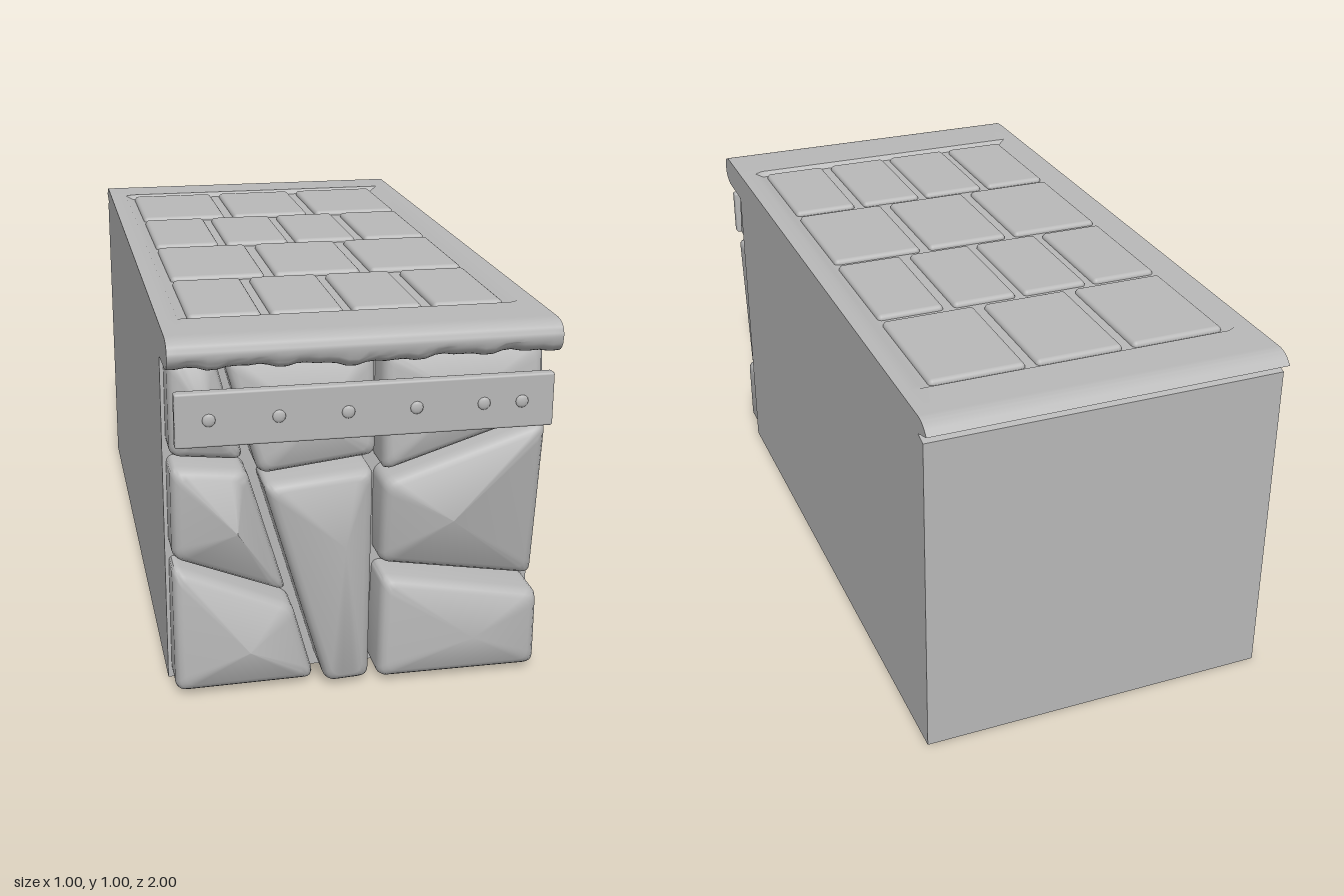
import * as THREE from 'three';
import { toCreasedNormals } from 'three/addons/utils/BufferGeometryUtils.js';
import { RoundedBoxGeometry } from 'three/addons/geometries/RoundedBoxGeometry.js';

const stone = new THREE.MeshStandardMaterial({ color: 0xb8b8b8 });
stone.name = 'grey stone';

function add(parent, name, geometry, x = 0, y = 0, z = 0) {
  const mesh = new THREE.Mesh(geometry, stone);
  mesh.name = name;
  mesh.position.set(x, y, z);
  parent.add(mesh);
  return mesh;
}

// Inset a counter-clockwise polygon by d, then round its corners; p.z carries the corner height.
function roundedRing(poly, d, r) {
  const n = poly.length;
  const inset = poly.map((p, i) => {
    const a = poly[(i + n - 1) % n], b = poly[(i + 1) % n];
    const u = new THREE.Vector2(p.x - a.x, p.y - a.y).normalize();
    const v = new THREE.Vector2(b.x - p.x, b.y - p.y).normalize();
    const k = d / (1 + u.dot(v));
    return new THREE.Vector3(p.x - (u.y + v.y) * k, p.y + (u.x + v.x) * k, p.z);
  });
  return inset.flatMap((p, i) => {
    const a = inset[(i + n - 1) % n], b = inset[(i + 1) % n];
    const start = p.clone().lerp(a, Math.min(0.4, r / p.distanceTo(a)));
    const end = p.clone().lerp(b, Math.min(0.4, r / p.distanceTo(b)));
    return new THREE.QuadraticBezierCurve3(start, p, end).getPoints(4);
  });
}

// Chiselled stone: bevelled rings rising to an off-centre peak
function stoneGeometry(corners, peak) {
  const poly = corners.map(c => new THREE.Vector3(...c));
  const layers = [[0, null], [0, -0.035], [0.004, -0.018], [0.012, -0.006], [0.024, 0]];
  const pos = [], index = [];
  let n = 0;
  for (const [d, drop] of layers) {
    const ring = roundedRing(poly, d, 0.025);
    n = ring.length;
    for (const p of ring) pos.push(p.x, p.y, drop === null ? 0.8 : p.z + drop);
  }
  pos.push(...peak);
  const last = layers.length - 1, tip = layers.length * n;
  for (let i = 0; i < n; i++) {
    const j = (i + 1) % n;
    for (let k = 0; k < last; k++) {
      const a = k * n + i, b = k * n + j;
      index.push(a, b, b + n, a, b + n, a + n);
    }
    index.push(last * n + i, last * n + j, tip);
  }
  const g = new THREE.BufferGeometry();
  g.setAttribute('position', new THREE.Float32BufferAttribute(pos, 3));
  g.setIndex(index);
  return toCreasedNormals(g, 0.7);
}

// Top slab: side profile (z, y) swept across x, with a recessed panel and a ragged front lip
function slabGeometry() {
  const floor = 0.986;
  const shape = new THREE.Shape();
  shape.moveTo(-0.975, 0.94);
  shape.lineTo(-0.94, 0.95);
  shape.lineTo(-1, 0.97);
  shape.lineTo(-0.985, 0.985);
  shape.quadraticCurveTo(-0.965, 1, -0.94, 1);
  shape.lineTo(-0.815, 1);
  shape.lineTo(-0.8, floor);
  shape.lineTo(0.78, floor);
  shape.lineTo(0.795, 1);
  shape.lineTo(0.94, 1);
  shape.quadraticCurveTo(1, 1, 1, 0.962);
  shape.quadraticCurveTo(0.997, 0.925, 0.95, 0.916);
  shape.lineTo(0.81, 0.91);
  shape.lineTo(0.81, 0.94);
  const g = new THREE.ExtrudeGeometry(shape, { depth: 1, steps: 40, bevelEnabled: false, curveSegments: 8 });
  g.rotateY(-Math.PI / 2);
  g.translate(0.5, 0, 0);
  const p = g.attributes.position;
  for (let i = 0; i < p.count; i++) {
    const x = p.getX(i), y = p.getY(i), z = p.getZ(i);
    if (Math.abs(x) > 0.43 && Math.abs(z) < 0.81 && Math.abs(y - floor) < 1e-4) p.setY(i, 1);
    if (z > 0.82 && y < 0.95) {
      const wave = 0.004 * Math.sin(x * 37) + 0.003 * Math.sin(x * 71 + 1);
      p.setY(i, y + wave - 0.009 * Math.exp(-((x / 0.13) ** 2)));
    }
  }
  return toCreasedNormals(g, 0.6);
}

export function createModel() {
  const model = new THREE.Group();
  model.name = 'stoneBlock';

  // Main block and top slab
  add(model, 'body', new THREE.BoxGeometry(1, 0.94, 1.785), 0, 0.47, -0.0825);
  add(model, 'topSlab', slabGeometry());

  // Paving tiles set in the top, in alternating rows of three and four
  const tiles = new THREE.Group();
  tiles.name = 'pavingTiles';
  model.add(tiles);
  const three = [[-0.42, -0.155], [-0.125, 0.12], [0.15, 0.415]];
  const four = [[-0.42, -0.23], [-0.205, -0.015], [0.01, 0.195], [0.225, 0.415]];
  const rows = [[-0.79, -0.42, three], [-0.395, -0.025, four], [0, 0.375, three], [0.4, 0.77, four]];
  for (const [z0, z1, spans] of rows) {
    for (const [x0, x1] of spans) {
      const g = new RoundedBoxGeometry(x1 - x0, 0.04, z1 - z0, 3, 0.013);
      add(tiles, 'tile', g, (x0 + x1) / 2, 0.98, (z0 + z1) / 2);
    }
  }

  // Front stones: corners from bottom left, counter-clockwise, then the peak
  const stones = new THREE.Group();
  stones.name = 'frontStones';
  model.add(stones);
  const layout = [
    ['bottomOuterStone', [[-0.49, 0.01, 0.93], [-0.115, 0.01, 0.92], [-0.175, 0.23, 0.92], [-0.49, 0.365, 0.91]], [-0.3, 0.14, 0.98]],
    ['middleOuterStone', [[-0.49, 0.39, 0.92], [-0.185, 0.255, 0.89], [-0.295, 0.625, 0.93], [-0.49, 0.645, 0.93]], [-0.33, 0.48, 0.985]],
    ['topOuterStone', [[-0.49, 0.67, 0.92], [-0.3, 0.65, 0.92], [-0.37, 0.925, 0.91], [-0.49, 0.925, 0.91]], [-0.4, 0.79, 0.955]],
    ['topCentreStone', [[-0.265, 0.615, 0.94], [0.04, 0.65, 0.94], [0.04, 0.925, 0.91], [-0.35, 0.925, 0.9]], [-0.12, 0.76, 0.96]],
    ['topBroadStone', [[0.06, 0.595, 0.93], [0.485, 0.735, 0.94], [0.485, 0.925, 0.91], [0.06, 0.925, 0.91]], [0.27, 0.8, 0.96]],
    ['wedgeStone', [[-0.09, 0.01, 0.95], [0.03, 0.01, 0.94], [0.03, 0.62, 0.96], [-0.26, 0.6, 0.97]], [-0.05, 0.42, 0.985]],
    ['middleBroadStone', [[0.06, 0.33, 0.91], [0.49, 0.25, 0.89], [0.49, 0.72, 0.95], [0.06, 0.575, 0.94]], [0.23, 0.48, 1]],
    ['bottomBroadStone', [[0.05, 0.01, 0.95], [0.49, 0.01, 0.95], [0.49, 0.23, 0.95], [0.06, 0.305, 0.94]], [0.3, 0.13, 0.985]],
  ];
  for (const [name, corners, peak] of layout) add(stones, name, stoneGeometry(corners, peak));

  // Riveted plank across the front
  const plank = new THREE.Group();
  plank.name = 'plank';
  model.add(plank);
  add(plank, 'plankBoard', new RoundedBoxGeometry(0.97, 0.142, 0.03, 2, 0.006), 0, 0.795, 0.979);
  const rivet = new THREE.SphereGeometry(0.017, 10, 6).scale(1, 1, 0.35);
  for (const x of [-0.4, -0.225, -0.05, 0.125, 0.3, 0.4]) add(plank, 'rivet', rivet, x, 0.795, 0.994);

  return model;
}
